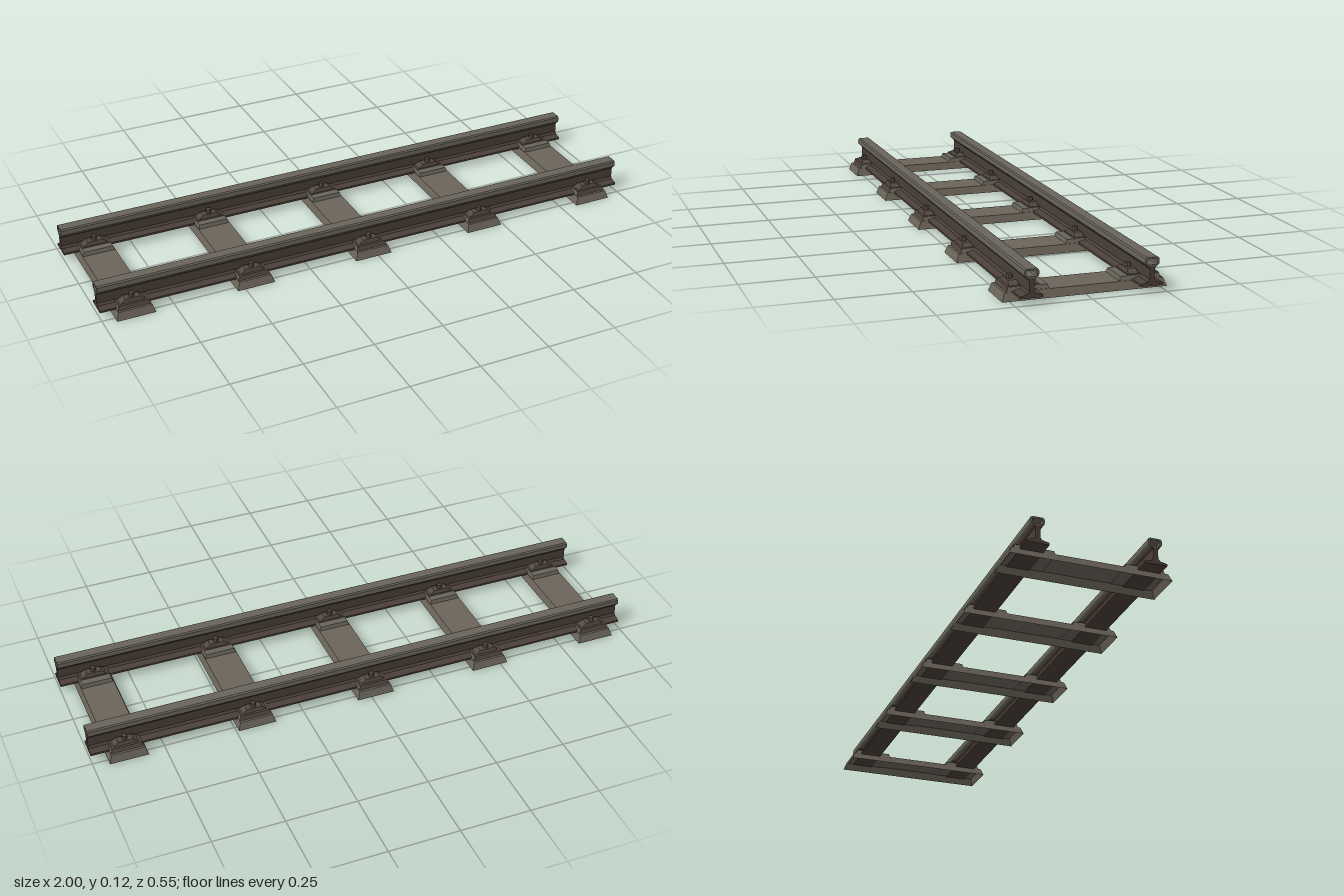
import * as THREE from 'three';

const mat = (name, color, side = THREE.FrontSide) => {
  const m = new THREE.MeshStandardMaterial({ color, side });
  m.name = name;
  return m;
};

// Box standing on y0 whose top is smaller than its base; optionally open underneath
function taperedBox(w, d, y0, y1, topW, topD, open = false) {
  let g = new THREE.BoxGeometry(w, y1 - y0, d);
  const p = g.attributes.position;
  for (let i = 0; i < p.count; i++) {
    if (p.getY(i) > 0) {
      p.setX(i, p.getX(i) * topW / w);
      p.setZ(i, p.getZ(i) * topD / d);
    }
  }
  if (open) {
    const idx = Array.from(g.index.array);
    idx.splice(18, 6);
    g.setIndex(idx);
  }
  g.clearGroups();
  g = g.toNonIndexed();
  g.computeVertexNormals();
  return g.translate(0, (y0 + y1) / 2, 0);
}

// Symmetric outline from its right half, listed bottom to top
function mirrored(half) {
  const left = half.map(([z, y]) => [-z, y]).reverse();
  return [...half, ...left].map(([z, y]) => new THREE.Vector2(z, y));
}

// Profile swept along the whole track length
function sweep(half, holeHalf) {
  const shape = new THREE.Shape(mirrored(half));
  if (holeHalf) shape.holes.push(new THREE.Path(mirrored(holeHalf)));
  const g = new THREE.ExtrudeGeometry(shape, { depth: 2, bevelEnabled: false });
  return g.translate(0, 0, -1).rotateY(Math.PI / 2);
}

export function createModel() {
  const track = new THREE.Group();
  track.name = 'railwayTrack';
  const steel = mat('worn steel', 0x68645a);
  const rust = mat('dark rust', 0x4b3f38);
  const sleeperMat = mat('weathered sleeper', 0x6b6459, THREE.DoubleSide);
  const clampMat = mat('rusty clamp', 0x544840);

  const add = (parent, name, geometry, material, x = 0, y = 0, z = 0) => {
    const m = new THREE.Mesh(geometry, material);
    m.name = name;
    m.position.set(x, y, z);
    parent.add(m);
  };

  // Rail profiles: flat foot with slim web, and hollow head
  const footGeo = sweep([[0.038, 0.025], [0.038, 0.032], [0.014, 0.038],
    [0.008, 0.046], [0.008, 0.08], [0.014, 0.088]]);
  const headGeo = sweep(
    [[0.014, 0.088], [0.022, 0.094], [0.024, 0.1], [0.023, 0.113], [0.018, 0.117]],
    [[0.013, 0.093], [0.017, 0.098], [0.017, 0.109], [0.014, 0.111]]);

  // Shared sleeper and fastening shapes
  const sleeperGeo = taperedBox(0.136, 0.548, 0.002, 0.029, 0.118, 0.528, true);
  const padGeo = taperedBox(0.115, 0.14, 0.027, 0.043, 0.105, 0.13);
  const chairGeo = taperedBox(0.112, 0.112, 0.029, 0.045, 0.1, 0.105);
  const clipGeo = taperedBox(0.09, 0.036, 0.044, 0.058, 0.052, 0.028);
  const boltGeo = new THREE.CylinderGeometry(0.009, 0.011, 0.015, 6).toNonIndexed();
  boltGeo.computeVertexNormals();

  for (const side of [1, -1]) {
    const rail = new THREE.Group();
    rail.name = side > 0 ? 'frontRail' : 'backRail';
    rail.position.z = side * 0.198;
    add(rail, 'railWebAndFoot', footGeo, rust);
    add(rail, 'railHead', headGeo, steel);
    track.add(rail);
  }

  for (const x of [-0.887, -0.46, -0.017, 0.423, 0.878]) {
    add(track, 'sleeper', sleeperGeo, sleeperMat, x);

    // Fastening on each rail: pad, chair, two clips and their bolts
    for (const side of [1, -1]) {
      const fastening = new THREE.Group();
      fastening.name = 'fastening';
      fastening.position.set(x, 0, side * 0.198);
      add(fastening, 'basePad', padGeo, steel, 0, 0, -side * 0.012);
      add(fastening, 'chair', chairGeo, clampMat, 0, 0, side * 0.002);
      for (const s of [1, -1]) {
        add(fastening, 'clip', clipGeo, clampMat, 0, 0, s * 0.029);
        add(fastening, 'bolt', boltGeo, clampMat, 0, 0.0645, s * 0.029);
      }
      track.add(fastening);
    }
  }
  return track;
}
